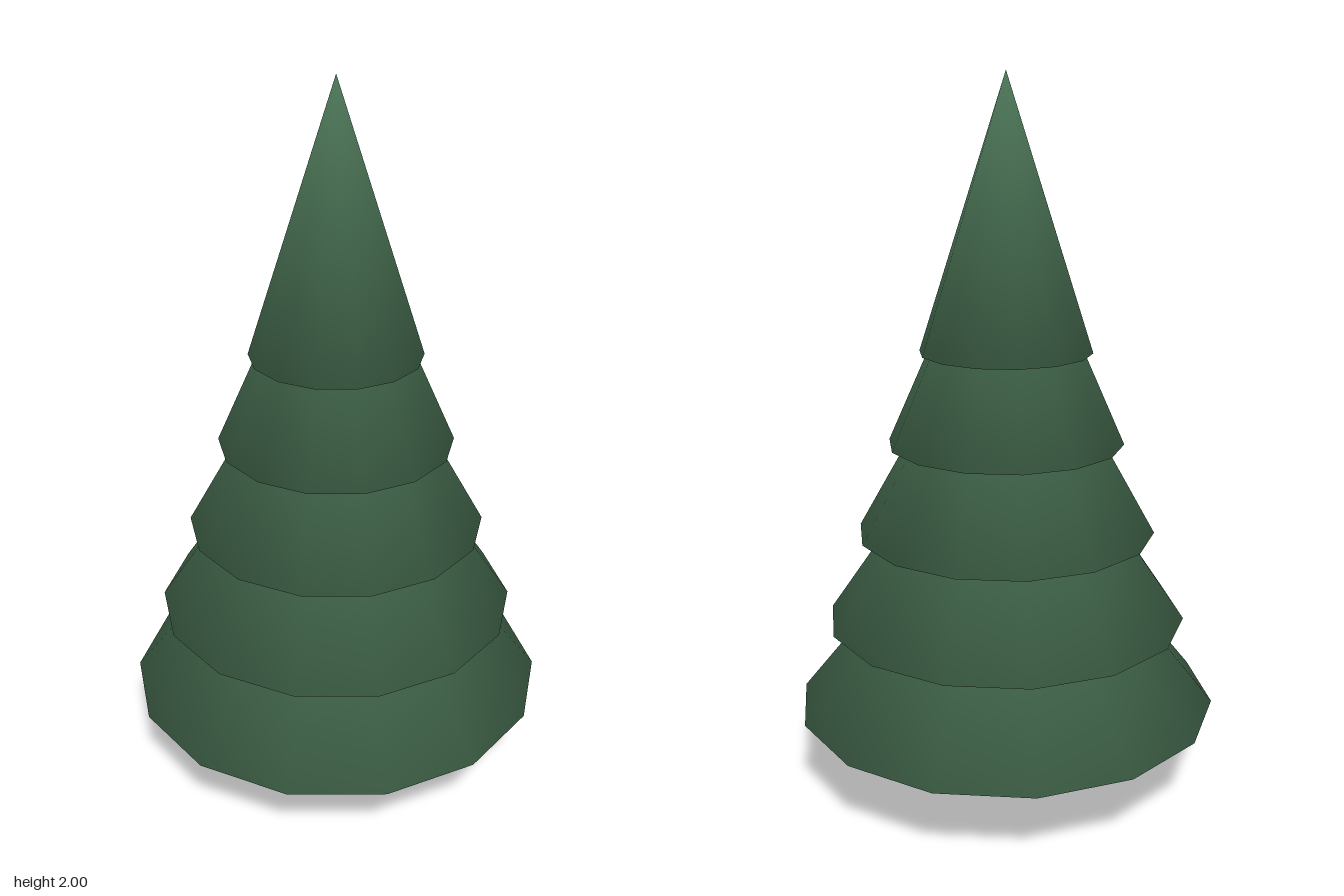
import * as THREE from 'three';

const SIDES = 14;

// Closed cone or tapered post whose normals blend smoothly over its rims.
// Normals at a rim average the side and the cap, weighted by corner angle.
function softFrustum(y0, r0, y1, r1) {
  const h = y1 - y0;
  const edge = 2 * Math.sin(Math.PI / SIDES);
  const slant = Math.hypot(h, r0 - r1);
  const sideAngle = Math.acos((edge * (r0 - r1)) / 2 / slant);
  const capAngle = Math.PI * (1 - 2 / SIDES);
  const out = h / slant, up = (r0 - r1) / slant;
  const bottom = new THREE.Vector2(out * 2 * sideAngle, up * 2 * sideAngle - capAngle).normalize();
  const topAngle = 2 * (Math.PI - sideAngle);
  const top = r1 === 0
    ? new THREE.Vector2(0, 1)
    : new THREE.Vector2(out * topAngle, up * topAngle + capAngle).normalize();

  const positions = [], normals = [], index = [];
  for (const [y, r, n] of [[y0, r0, bottom], [y1, r1, top]]) {
    for (let i = 0; i < SIDES; i++) {
      const a = (i / SIDES) * Math.PI * 2;
      const s = Math.sin(a), c = Math.cos(a);
      positions.push(s * r, y, c * r);
      normals.push(s * n.x, n.y, c * n.x);
    }
  }
  for (let i = 0; i < SIDES; i++) {
    const j = (i + 1) % SIDES;
    index.push(i, j, SIDES + i);
    if (r1 > 0) index.push(j, SIDES + j, SIDES + i);
  }
  // Caps
  for (let i = 1; i < SIDES - 1; i++) {
    index.push(0, i + 1, i);
    if (r1 > 0) index.push(SIDES, SIDES + i, SIDES + i + 1);
  }
  const geometry = new THREE.BufferGeometry();
  geometry.setAttribute('position', new THREE.Float32BufferAttribute(positions, 3));
  geometry.setAttribute('normal', new THREE.Float32BufferAttribute(normals, 3));
  geometry.setIndex(index);
  return geometry;
}

export function createModel() {
  const tree = new THREE.Group();
  tree.name = 'pineTree';

  const needleGreen = new THREE.MeshStandardMaterial({ color: 0x4a7355 });
  needleGreen.name = 'needleGreen';
  const barkBrown = new THREE.MeshStandardMaterial({ color: 0x4f402f });
  barkBrown.name = 'barkBrown';

  // Trunk, running up inside the foliage
  const trunk = new THREE.Mesh(softFrustum(0, 0.085, 0.75, 0.06), barkBrown);
  trunk.name = 'trunk';
  tree.add(trunk);

  // Five overlapping cones of equal height, narrowing upward
  for (let i = 0; i < 5; i++) {
    const y = 0.23 + i * 0.256;
    const tier = new THREE.Mesh(softFrustum(y, 0.6 - i * 0.09, y + 0.746, 0), needleGreen);
    tier.name = `foliageTier${i + 1}`;
    tree.add(tier);
  }
  return tree;
}
